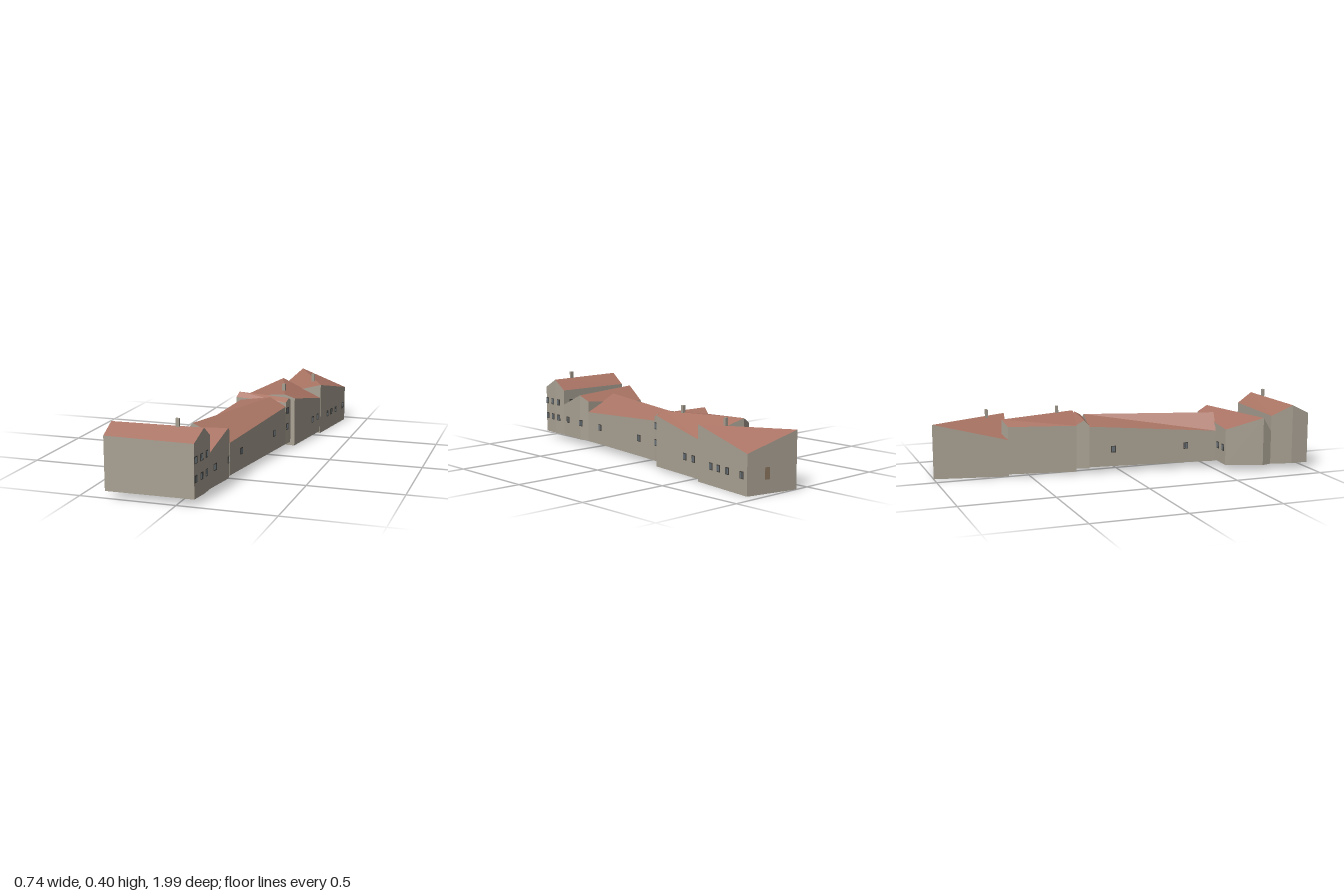
import * as THREE from 'three';

const mat = (name, color, side = THREE.FrontSide) => {
  const m = new THREE.MeshStandardMaterial({ color, side });
  m.name = name;
  return m;
};

export function createModel() {
  const wallMat = mat('plaster', 0xaaa294, THREE.DoubleSide);
  const roofMat = mat('roof tile', 0xaa7464, THREE.DoubleSide);
  const chimneyMat = mat('chimney stone', 0xa59d90);
  const frameMat = mat('window frame', 0x45423e);
  const paneMat = mat('window pane', 0x6a747a);
  const doorMat = mat('door wood', 0x8c7660);
  const row = new THREE.Group();
  row.name = 'houseRow';

  const meshFrom = (name, points, material) => {
    const g = new THREE.BufferGeometry();
    g.setAttribute('position', new THREE.Float32BufferAttribute(points.flat(), 3));
    g.computeVertexNormals();
    const m = new THREE.Mesh(g, material);
    m.name = name;
    return m;
  };

  const plate = (name, w, h, d, x, y, z, material) => {
    const m = new THREE.Mesh(new THREE.BoxGeometry(w, h, d), material);
    m.name = name;
    m.position.set(x, y, z);
    return m;
  };

  // Rim runs counter-clockwise from above as [x, y, z]; the ridge joins rim points a and b
  function house(name, base, rim, a, b) {
    const group = new THREE.Group();
    group.name = name;
    const n = rim.length, walls = [], roof = [];
    rim.forEach((p, i) => {
      const q = rim[(i + 1) % n];
      const pb = [p[0], base, p[2]], qb = [q[0], base, q[2]];
      walls.push(pb, qb, q, pb, q, p);
    });
    for (const [s, e] of [[a, b], [b, a]]) {
      const count = (e - s + n) % n;
      for (let k = 1; k < count; k++) {
        roof.push(rim[s], rim[(s + k) % n], rim[(s + k + 1) % n]);
      }
    }
    group.add(meshFrom('walls', walls, wallMat), meshFrom('roof', roof, roofMat));
    row.add(group);
    return { group, rim };
  }

  // Place a window or door on the wall after rim point i, at fraction t along it
  function opening(h, i, t, y, isDoor = false) {
    const p = h.rim[i], q = h.rim[(i + 1) % h.rim.length];
    const dx = q[0] - p[0], dz = q[2] - p[2];
    const g = new THREE.Group();
    g.name = isDoor ? 'door' : 'window';
    if (isDoor) {
      g.add(plate('doorLeaf', 0.028, 0.06, 0.005, 0, 0, 0, doorMat));
    } else {
      g.add(plate('frame', 0.026, 0.036, 0.006, 0, 0, 0, frameMat));
      for (const s of [-1, 1]) {
        g.add(plate('pane', 0.008, 0.028, 0.002, s * 0.0055, 0, 0.003, paneMat));
      }
    }
    g.position.set(p[0] + dx * t, y, p[2] + dz * t);
    g.rotation.y = Math.atan2(-dz, dx);
    g.rotation.y = Math.atan2(-dz, dx);
    h.group.add(g);
  }

  // Windows on the +x side, given by their z
  function sideWindows(h, zs, y) {
    for (const z of zs) {
      h.rim.forEach((p, i) => {
        const q = h.rim[(i + 1) % h.rim.length];
        const dz = q[2] - p[2];
        if (dz < 0 && -dz > Math.abs(q[0] - p[0]) && z <= p[2] && z > q[2]) {
          opening(h, i, (z - p[2]) / dz, y);
        }
      });
    }
  }

  function chimney(x, z, bottom, top) {
    row.add(plate('chimney', 0.018, top - bottom, 0.013, x, (top + bottom) / 2, z, chimneyMat));
  }

  // Tall front house
  const front = house('frontHouse', 0.033, [
    [-0.37, 0.308, 0.99], [0.087, 0.303, 0.985], [0.1, 0.357, 0.88],
    [0.1, 0.3, 0.797], [-0.34, 0.3, 0.78], [-0.37, 0.357, 0.895]], 2, 5);
  sideWindows(front, [0.97, 0.91, 0.85], 0.13);
  sideWindows(front, [0.97, 0.91, 0.85], 0.222);
  for (const t of [0.12, 0.25]) opening(front, 3, t, 0.225);

  // Wedge-shaped second house
  const second = house('secondHouse', 0.033, [
    [-0.34, 0.215, 0.78], [0.1, 0.215, 0.797], [0.128, 0.293, 0.61],
    [0.114, 0.262, 0.547], [-0.28, 0.23, 0.535], [-0.357, 0.295, 0.725]], 2, 5);
  sideWindows(second, [0.75, 0.605], 0.13);
  for (const t of [0.75, 0.92]) opening(second, 3, t, 0.125);
  opening(second, 3, 0.35, 0.11, true);

  // Long middle house with a skewed ridge
  const long = house('longHouse', 0.03, [
    [-0.156, 0.2, 0.535], [-0.08, 0.29, 0.555], [0.115, 0.2, 0.548],
    [0.213, 0.245, -0.13], [0.12, 0.29, -0.145], [-0.066, 0.255, -0.18]], 1, 4);
  sideWindows(long, [0.42, 0.02], 0.128);
  for (const t of [0.19, 0.76]) opening(long, 5, t, 0.125);

  // Narrow cross house
  const cross = house('crossHouse', 0.03, [
    [-0.092, 0.268, -0.185], [0.214, 0.268, -0.13], [0.222, 0.288, -0.165],
    [0.228, 0.265, -0.195], [-0.066, 0.268, -0.25], [-0.082, 0.295, -0.21]], 2, 5);
  sideWindows(cross, [-0.147], 0.13);
  sideWindows(cross, [-0.147], 0.22);
  opening(cross, 3, 0.5, 0.1, true);

  // Fourth house, ridge running corner to corner
  const fourth = house('fourthHouse', 0.012, [
    [-0.066, 0.265, -0.25], [0.19, 0.302, -0.187], [0.25, 0.283, -0.185],
    [0.305, 0.213, -0.553], [0.058, 0.302, -0.63], [0, 0.27, -0.61]], 1, 4);
  sideWindows(fourth, [-0.44, -0.513], 0.108);
  opening(fourth, 3, 0.5, 0.09, true);

  // Rear house with a diagonal ridge
  const rear = house('rearHouse', 0, [
    [0, 0.2, -0.61], [0.307, 0.29, -0.553],
    [0.365, 0.205, -0.94], [0.08, 0.294, -1]], 1, 3);
  sideWindows(rear, [-0.66, -0.72, -0.79, -0.9], 0.097);
  opening(rear, 2, 0.4, 0.1, true);

  chimney(-0.03, 0.887, 0.34, 0.395);
  chimney(0.157, -0.29, 0.28, 0.34);
  chimney(0.232, -0.67, 0.27, 0.33);

  return row;
}
